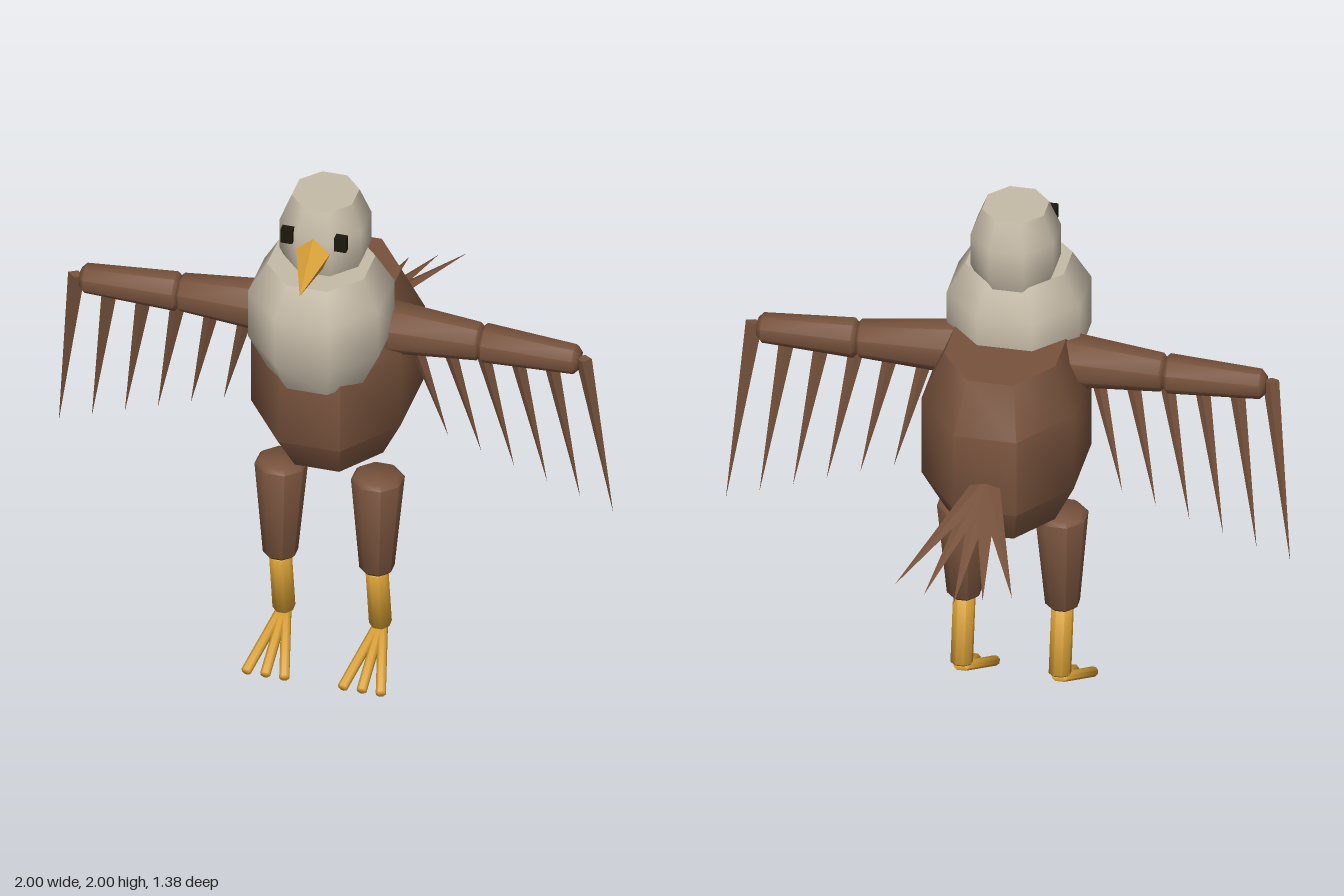
import * as THREE from 'three';
import { toCreasedNormals } from 'three/addons/utils/BufferGeometryUtils.js';

const mat = (name, color) => {
  const m = new THREE.MeshStandardMaterial({ color });
  m.name = name;
  return m;
};

const V = (x, y, z) => new THREE.Vector3(x, y, z);
const SIDES = 8;
const FLAT = 1 / Math.cos(Math.PI / SIDES); // corner radius for a flat-to-flat radius of 1

// Eight-sided closed barrel from [y, radius] rings, with flat faces on the axes
function barrel(rings) {
  const pts = [[rings[0][0], 0], ...rings, [rings[rings.length - 1][0], 0]]
    .map(([y, r]) => new THREE.Vector2(r * FLAT, y));
  return new THREE.LatheGeometry(pts, SIDES, Math.PI / SIDES);
}

function addMesh(parent, name, geometry, material) {
  const mesh = new THREE.Mesh(geometry, material);
  mesh.name = name;
  parent.add(mesh);
  return mesh;
}

// Lays a mesh built along +y between a and b, its x axis near "wide"
function orient(mesh, a, b, wide) {
  const y = b.clone().sub(a).normalize();
  const x = wide.clone().addScaledVector(y, -wide.dot(y)).normalize();
  const z = x.clone().cross(y);
  mesh.quaternion.setFromRotationMatrix(new THREE.Matrix4().makeBasis(x, y, z));
  mesh.position.copy(a);
  return mesh;
}

// Tapered limb with bevelled ends
function limb(parent, name, a, b, ra, rb, bevel, material) {
  const len = a.distanceTo(b);
  const geo = barrel([[0, ra - bevel], [bevel, ra], [len - bevel, rb], [len, rb - bevel]]);
  const wide = Math.abs(b.x - a.x) > Math.abs(b.y - a.y) ? V(0, 0, 1) : V(1, 0, 0);
  return orient(addMesh(parent, name, toCreasedNormals(geo, 0.95), material), a, b, wide);
}

// Faceted spike from a base point to a tip; flat squashes its thickness
function spike(parent, name, a, b, r, sides, flat, material) {
  const len = a.distanceTo(b);
  const geo = new THREE.ConeGeometry(r, len, sides);
  geo.rotateY(Math.PI).translate(0, len / 2, 0).scale(1, 1, flat);
  return orient(addMesh(parent, name, toCreasedNormals(geo, 0.1), material), a, b, V(1, 0, 0));
}

export function createModel() {
  const brown = mat('brown plumage', 0x77523c);
  const cream = mat('cream plumage', 0xc6bba8);
  const yellow = mat('yellow beak and feet', 0xd9a035);
  const black = mat('dark eye', 0x1c180c);

  const bird = new THREE.Group();
  bird.name = 'bird';

  // Torso, chest and head: barrels with chamfered ends
  const block = (name, rings, rx, rz, z, material) => {
    const geo = barrel(rings).scale(rx, 1, rz).translate(0, 0, z);
    addMesh(bird, name, toCreasedNormals(geo, 0.95), material);
  };
  block('body', [[0.9, 0.72], [1.06, 1], [1.36, 1], [1.53, 0.73]], 0.27, 0.365, 0.21, brown);
  block('chest', [[1.31, 0.73], [1.45, 1], [1.64, 1], [1.75, 0.74]], 0.235, 0.245, 0.42, cream);
  block('head', [[1.68, 0.73], [1.78, 1], [1.9, 1], [2, 0.74]], 0.147, 0.157, 0.365, cream);

  // Beak
  spike(bird, 'beak', V(0, 1.84, 0.5), V(0, 1.778, 0.69), 0.07, 5, 1, yellow)
    .rotateY(Math.PI);
  // keep a corner of the beak on top
  const beak = bird.getObjectByName('beak');
  const up = new THREE.Vector3(0, 0, -1).applyQuaternion(beak.quaternion);
  if (up.y < 0) beak.rotateY(Math.PI);

  for (const s of [1, -1]) {
    const side = s > 0 ? 'left' : 'right';

    // Eye
    addMesh(bird, side + 'Eye', new THREE.BoxGeometry(0.042, 0.055, 0.03), black)
      .position.set(s * 0.097, 1.897, 0.507);

    // Wing: two arm sections and a row of hanging feathers
    const wing = new THREE.Group();
    wing.name = side + 'Wing';
    bird.add(wing);
    limb(wing, 'upperWing', V(s * 0.17, 1.432, 0.305), V(s * 0.545, 1.425, 0.298), 0.092, 0.064, 0.012, brown);
    limb(wing, 'foreWing', V(s * 0.54, 1.424, 0.298), V(s * 0.9, 1.42, 0.303), 0.066, 0.05, 0.018, brown);
    for (let i = 0; i < 6; i++) {
      spike(wing, 'wingFeather', V(s * (0.915 - 0.125 * i), 1.435, 0.31),
        V(s * (1 - 0.119 * i), 0.745 + 0.042 * i, 0.235), 0.03, 4, 0.65, brown);
    }

    // Leg: thigh, shank and three toes
    const leg = new THREE.Group();
    leg.name = side + 'Leg';
    bird.add(leg);
    const x = s * 0.174;
    limb(leg, 'thigh', V(x, 0.8, 0.314), V(x, 0.405, 0.327), 0.087, 0.057, 0.014, brown);
    limb(leg, 'shank', V(x, 0.41, 0.328), V(x, 0.148, 0.282), 0.037, 0.037, 0.006, yellow);
    for (const t of [-1, 0, 1]) {
      limb(leg, 'toe', V(x + t * 0.008, 0.138, 0.28), V(x + t * 0.07, 0.018, 0.522), 0.017, 0.017, 0.004, yellow);
    }
  }

  // Fanned tail, outer feathers raised
  const tail = new THREE.Group();
  tail.name = 'tail';
  bird.add(tail);
  for (let i = -2; i <= 2; i++) {
    spike(tail, 'tailFeather', V(i * 0.004, 1.167, -0.145),
      V(i * 0.104, 1.01 + Math.abs(i) * 0.028, -0.685), 0.042, 4, 0.3, brown);
  }

  return bird;
}
